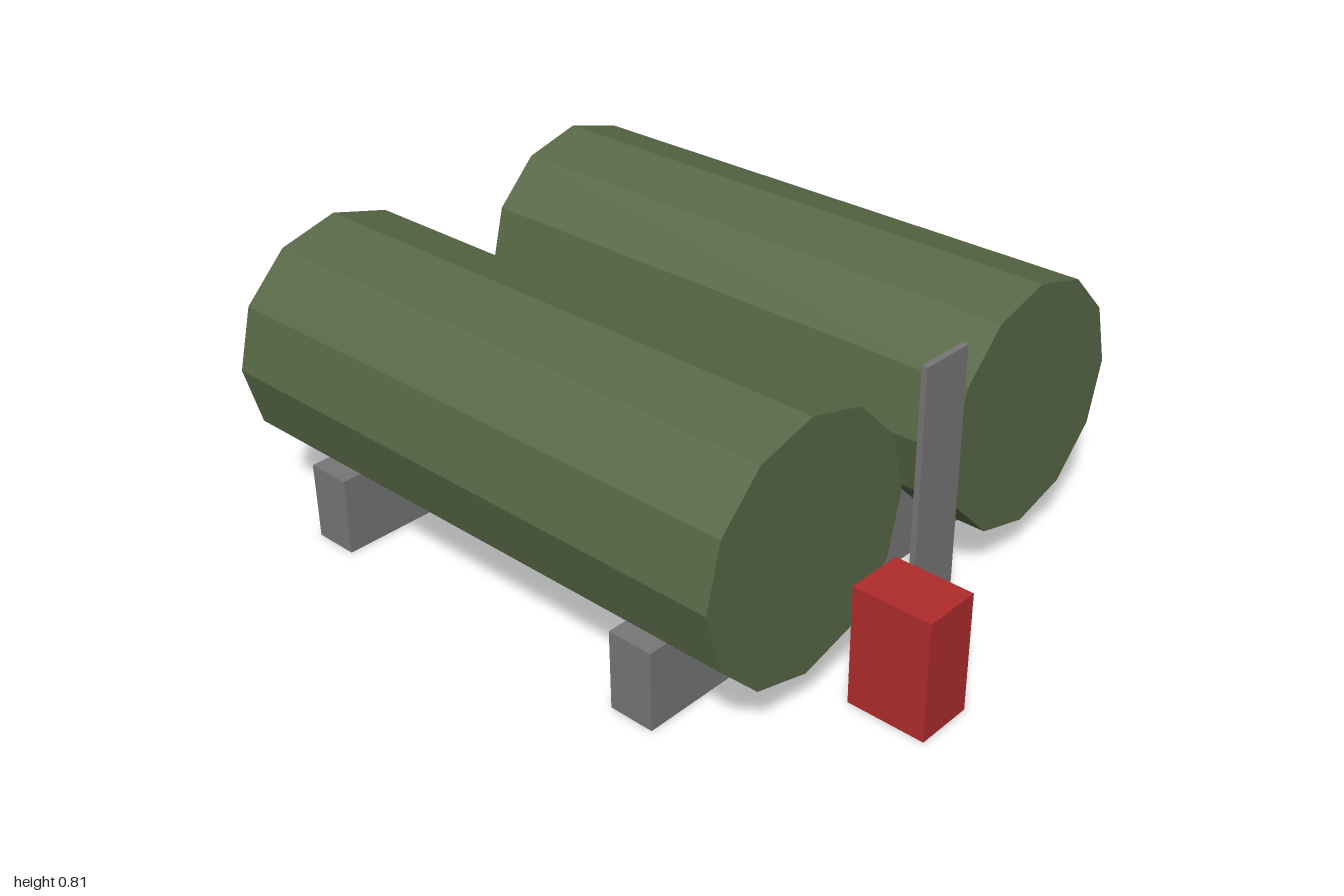
import * as THREE from 'three';

export function createModel() {
  const model = new THREE.Group();
  model.name = 'fuelTanks';

  const material = (name, color) => {
    const m = new THREE.MeshStandardMaterial({ color });
    m.name = name;
    return m;
  };
  const green = material('olive green', 0x586846);
  const grey = material('grey', 0x777777);
  const red = material('red', 0xb02c2c);
  green.flatShading = true;

  const add = (name, geometry, mat, x, y, z) => {
    const mesh = new THREE.Mesh(geometry, mat);
    mesh.name = name;
    mesh.position.set(x, y, z);
    model.add(mesh);
  };

  // Twelve-sided tanks lying along x, each resting on two saddle blocks
  const tank = new THREE.CylinderGeometry(0.354, 0.354, 1.71, 12).rotateZ(Math.PI / 2);
  const saddle = new THREE.BoxGeometry(0.135, 0.227, 0.62);
  for (const [side, s] of [['front', 1], ['back', -1]]) {
    add(side + 'Tank', tank, green, -0.145, 0.46, s * 0.459);
    add(side + 'RightSaddle', saddle, grey, -0.716, 0.1135, s * 0.459);
    add(side + 'LeftSaddle', saddle, grey, 0.426, 0.1135, s * 0.459);
  }

  // Thin upright panel between the tanks
  add('panel', new THREE.BoxGeometry(0.017, 0.8, 0.166), grey, 0.739, 0.4, 0);

  // Red pump box
  add('pumpBox', new THREE.BoxGeometry(0.228, 0.342, 0.167), red, 0.886, 0.171, 0.286);

  return model;
}
